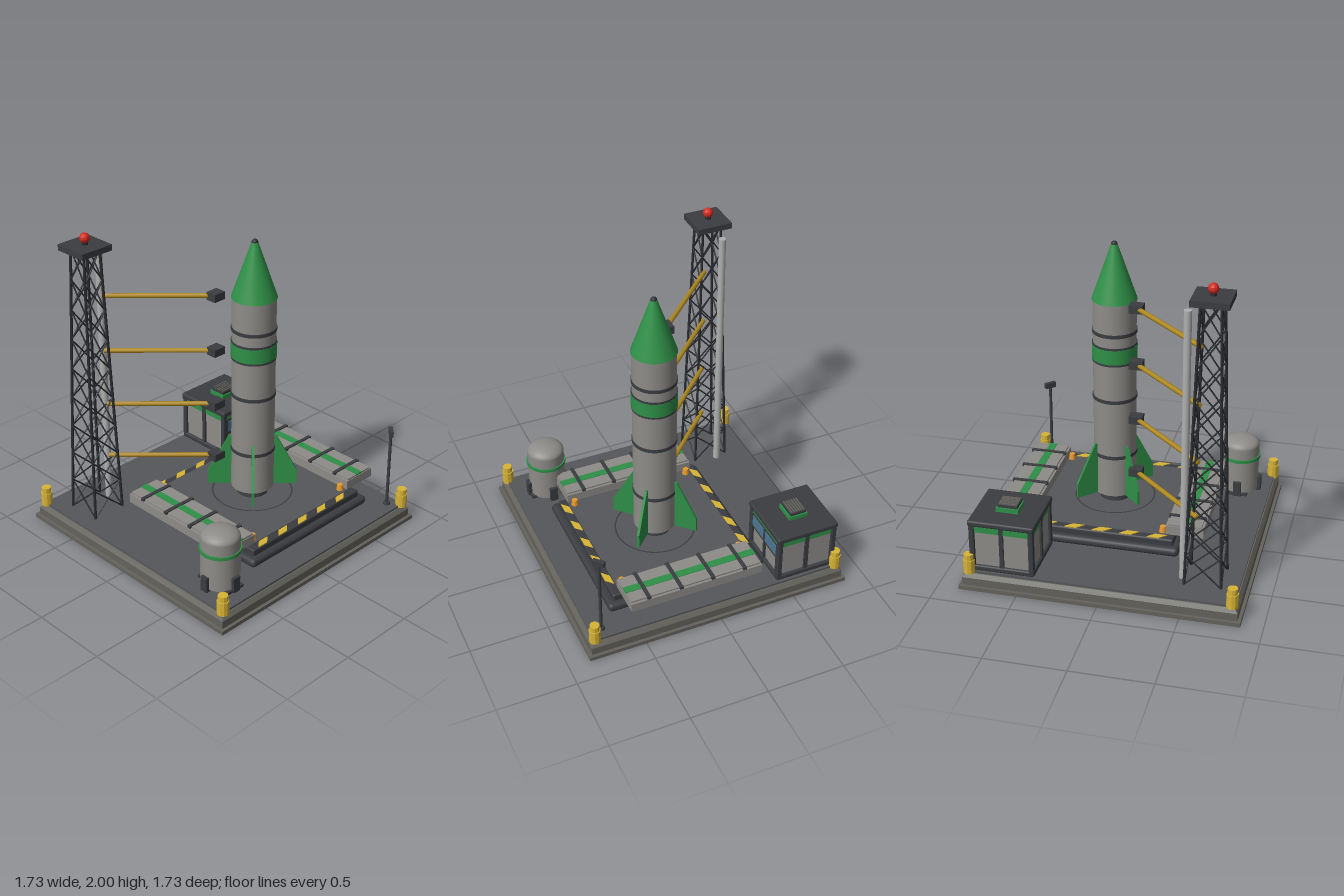
import * as THREE from 'three';
import { RoundedBoxGeometry } from 'three/addons/geometries/RoundedBoxGeometry.js';

const mat = (color, flat = false) =>
  new THREE.MeshStandardMaterial({ color, flatShading: flat, side: THREE.DoubleSide });
const M = {
  grey: mat(0x8e8c88), pale: mat(0xb0b0b0), base: mat(0x64635d), deck: mat(0x55575a),
  dark: mat(0x3b3d41), steel: mat(0x2c2e32), green: mat(0x2f9048), yellow: mat(0xd8b436, true),
  arm: mat(0xb08a20), orange: mat(0xe89a2c), red: mat(0xd42a1e, true), glass: mat(0x4f7896),
};

function add(parent, name, geo, material, x = 0, y = 0, z = 0) {
  const m = new THREE.Mesh(geo, material);
  m.name = name;
  m.position.set(x, y, z);
  parent.add(m);
  return m;
}
function group(parent, name, x = 0, y = 0, z = 0) {
  const g = new THREE.Group();
  g.name = name;
  g.position.set(x, y, z);
  parent.add(g);
  return g;
}
// box given by its centre in x and z and its bottom and top heights
const box = (p, name, m, x, z, w, d, y0, y1) =>
  add(p, name, new THREE.BoxGeometry(w, y1 - y0, d), m, x, (y0 + y1) / 2, z);
const rbox = (p, name, m, x, z, w, d, y0, y1, r = 0.012) =>
  add(p, name, new RoundedBoxGeometry(w, y1 - y0, d, 2, r), m, x, (y0 + y1) / 2, z);
const cyl = (p, name, m, x, z, r0, r1, y0, y1, n = 32) =>
  add(p, name, new THREE.CylinderGeometry(r1, r0, y1 - y0, n), m, x, (y0 + y1) / 2, z);
// straight bar between two points
function bar(p, name, m, a, b, r, n = 6) {
  const mesh = add(p, name, new THREE.CylinderGeometry(r, r, a.distanceTo(b), n), m);
  mesh.position.copy(a).add(b).multiplyScalar(0.5);
  mesh.quaternion.setFromUnitVectors(new THREE.Vector3(0, 1, 0), b.clone().sub(a).normalize());
  return mesh;
}
const V = (x, y, z) => new THREE.Vector3(x, y, z);

function buildBase(root) {
  const g = group(root, 'base');
  box(g, 'bottomPlate', M.base, 0, 0, 1.73, 1.73, 0, 0.025);
  box(g, 'slab', M.base, 0, 0, 1.69, 1.69, 0.025, 0.075);
  const bevel = cyl(g, 'slabBevel', mat(0x64635d, true), 0, 0, 0.845 * Math.SQRT2, 0.825 * Math.SQRT2, 0.075, 0.1, 4);
  bevel.geometry.rotateY(Math.PI / 4);
  box(g, 'deck', M.deck, 0, 0, 1.635, 1.635, 0.09, 0.113);
  for (const x of [-0.807, 0.807]) for (const z of [-0.81, 0.81]) {
    const b = group(g, 'cornerBollard', x, 0, z);
    cyl(b, 'bollardBody', M.yellow, 0, 0, 0.037, 0.037, 0.1, 0.19, 10);
    cyl(b, 'bollardCap', M.yellow, 0, 0, 0.031, 0.031, 0.19, 0.228, 10);
  }
}

function buildPad(root) {
  const g = group(root, 'launchPad', 0.129, 0, 0.129);
  rbox(g, 'lowerStep', M.dark, 0, 0, 1.046, 1.046, 0.113, 0.17, 0.025);
  rbox(g, 'upperStep', M.dark, 0, 0, 0.966, 0.966, 0.16, 0.213);
  box(g, 'padFloor', M.deck, 0, 0, 0.86, 0.866, 0.2, 0.217);
  const ring = add(g, 'padRing', new THREE.RingGeometry(0.25, 0.26, 48), M.dark, 0, 0.219, 0);
  ring.rotation.x = -Math.PI / 2;
  // slanted warning stripes along the two open edges
  const s = new THREE.Shape([[-0.06, -0.021], [0.015, -0.021], [0.06, 0.021], [-0.015, 0.021]].map(p => new THREE.Vector2(...p)));
  const stripe = new THREE.ExtrudeGeometry(s, { depth: 0.006, bevelEnabled: false }).rotateX(-Math.PI / 2);
  for (const z of [-0.457, 0.46]) for (let i = 0; i < 5; i++)
    add(g, 'warningStripe', stripe, M.yellow, -0.377 + i * 0.176, 0.212, z);
  for (const x of [-0.402, 0.402]) for (const z of [-0.396, 0.396])
    cyl(g, 'padLamp', M.orange, x, z, 0.024, 0.018, 0.213, 0.255, 16);
}

function buildRamp(root, x) {
  const g = group(root, 'sideRamp', x, 0, 0.13);
  box(g, 'rampBody', M.grey, 0, 0, 0.238, 0.87, 0.222, 0.282);
  box(g, 'rampTop', M.grey, 0, 0, 0.21, 0.86, 0.28, 0.293);
  box(g, 'rampStripe', M.green, 0, 0, 0.05, 0.866, 0.285, 0.296);
  for (let i = 0; i < 4; i++)
    box(g, 'rampBar', M.dark, 0, -0.318 + i * 0.212, 0.236, 0.024, 0.27, 0.3);
}

function buildRocket(root) {
  const g = group(root, 'rocket', 0.129, 0, 0.129);
  cyl(g, 'nozzle', M.dark, 0, 0, 0.1, 0.092, 0.215, 0.275);
  cyl(g, 'body', M.grey, 0, 0, 0.136, 0.136, 0.27, 1.585, 40);
  for (const y of [0.545, 0.935, 1.19, 1.29, 1.378])
    cyl(g, 'bodyBand', M.dark, 0, 0, 0.141, 0.141, y - 0.011, y + 0.011, 40);
  cyl(g, 'greenBand', M.green, 0, 0, 0.1425, 0.1425, 1.193, 1.288, 40);
  cyl(g, 'noseCone', M.green, 0, 0, 0.141, 0.02, 1.58, 1.93, 40);
  add(g, 'noseTip', new THREE.SphereGeometry(0.02, 16, 10), M.steel, 0, 1.93, 0);
  // fin outline in radius and height
  const fin = new THREE.Shape([[0.12, 0.27], [0.283, 0.27], [0.283, 0.365], [0.15, 0.62], [0.12, 0.62]].map(p => new THREE.Vector2(...p)));
  const finGeo = new THREE.ExtrudeGeometry(fin, { depth: 0.016, bevelEnabled: false }).translate(0, 0, -0.008);
  for (let i = 0; i < 4; i++)
    add(g, 'fin', finGeo, M.green).rotation.y = Math.PI / 4 + i * Math.PI / 2;
}

function buildTower(root) {
  const g = group(root, 'gantryTower', -0.6, 0, -0.55);
  const y0 = 0.113, y1 = 1.9, panels = 9;
  const half = y => 0.112 + (0.06 - 0.112) * (y - y0) / (y1 - y0);
  const corner = (k, y) => {
    const a = Math.PI / 4 + k * Math.PI / 2, r = half(y) * Math.SQRT2;
    return V(Math.cos(a) * r, y, Math.sin(a) * r);
  };
  for (let k = 0; k < 4; k++) {
    bar(g, 'towerLeg', M.steel, corner(k, y0), corner(k, y1), 0.009);
    for (let i = 0; i < panels; i++) {
      const a = y0 + (y1 - y0) * i / panels, b = y0 + (y1 - y0) * (i + 1) / panels;
      bar(g, 'towerBrace', M.steel, corner(k, a), corner(k + 1, b), 0.005, 5);
      bar(g, 'towerBrace', M.steel, corner(k + 1, a), corner(k, b), 0.005, 5);
    }
  }
  box(g, 'towerPlatform', M.dark, 0, 0, 0.225, 0.225, 1.89, 1.928);
  cyl(g, 'beaconBase', M.steel, 0, 0, 0.02, 0.02, 1.925, 1.945, 12);
  add(g, 'beacon', new THREE.SphereGeometry(0.032, 10, 8), M.red, 0, 1.968, 0);
  cyl(g, 'supplyPipe', M.pale, 0.132, -0.04, 0.023, 0.023, 0.113, 1.843, 20);
  // access arms reaching towards the rocket
  for (const y of [0.485, 0.855, 1.225, 1.592]) {
    bar(g, 'accessArm', M.arm, V(0.07, y, 0.05), V(0.54, y, 0.51), 0.015, 8);
    box(g, 'armHead', M.dark, 0.555, 0.526, 0.084, 0.072, y - 0.025, y + 0.025);
  }
}

function buildTank(root) {
  const g = group(root, 'fuelTank', -0.616, 0, 0.595);
  box(g, 'tankFootplate', M.dark, 0, 0, 0.13, 0.26, 0.113, 0.13);
  cyl(g, 'tankBody', M.grey, 0, 0, 0.12, 0.12, 0.125, 0.44);
  const dome = add(g, 'tankDome', new THREE.SphereGeometry(0.12, 32, 10, 0, Math.PI * 2, 0, Math.PI / 2), M.grey, 0, 0.44, 0);
  dome.scale.y = 0.48;
  cyl(g, 'tankBand', M.green, 0, 0, 0.129, 0.129, 0.35, 0.371);
  for (let i = 0; i < 4; i++) {
    const a = i * Math.PI / 2;
    box(g, 'tankFoot', M.dark, Math.cos(a) * 0.115, Math.sin(a) * 0.115, 0.05, 0.05, 0.113, 0.212);
  }
}

function buildHut(root) {
  const g = group(root, 'controlHut', 0.602, 0, -0.607);
  box(g, 'hutWalls', M.grey, 0, 0, 0.37, 0.37, 0.12, 0.44);
  rbox(g, 'hutPlinth', M.dark, 0, 0, 0.405, 0.405, 0.113, 0.15);
  rbox(g, 'hutRoof', M.dark, 0, 0, 0.415, 0.415, 0.418, 0.456);
  for (const x of [-0.185, 0.185]) for (const z of [-0.185, 0.185])
    rbox(g, 'hutCornerPost', M.dark, x, z, 0.034, 0.034, 0.12, 0.44, 0.008);
  // each side: green strip and a middle post; the front carries windows
  for (let i = 0; i < 4; i++) {
    const side = group(g, i ? 'hutSide' : 'hutFront');
    side.rotation.y = i * Math.PI / 2;
    box(side, 'hutTrim', M.green, 0, 0.187, 0.35, 0.01, 0.375, 0.412);
    if (i) {
      box(side, 'hutMiddlePost', M.dark, 0, 0.187, 0.026, 0.022, 0.14, 0.43);
      continue;
    }
    box(side, 'windowFrame', M.dark, 0, 0.187, 0.345, 0.014, 0.27, 0.385);
    for (const x of [-0.085, 0.085])
      box(side, 'windowPane', M.glass, x, 0.19, 0.15, 0.014, 0.29, 0.37);
    for (const x of [-0.17, 0, 0.17])
      box(side, 'windowPost', M.dark, x, 0.188, 0.018, 0.022, 0.14, 0.385);
  }
  const v = group(g, 'roofVent');
  box(v, 'ventBase', M.green, 0, 0, 0.142, 0.125, 0.45, 0.484);
  box(v, 'ventBox', M.dark, 0, 0, 0.125, 0.105, 0.48, 0.502);
  for (let i = 0; i < 6; i++)
    box(v, 'ventSlat', M.base, 0, -0.043 + i * 0.017, 0.115, 0.008, 0.5, 0.51);
}

function buildLampPost(root) {
  const g = group(root, 'lampPost', 0.742, 0, 0.745);
  g.rotation.y = Math.PI / 4;
  cyl(g, 'postFoot', M.dark, 0, 0, 0.025, 0.02, 0.11, 0.13, 12);
  cyl(g, 'post', M.dark, 0, 0, 0.01, 0.01, 0.113, 0.64, 10);
  box(g, 'lampHead', M.dark, 0, 0, 0.075, 0.026, 0.628, 0.665);
}

export function createModel() {
  const root = new THREE.Group();
  root.name = 'rocketLaunchPad';
  buildBase(root);
  buildPad(root);
  buildRamp(root, -0.416);
  buildRamp(root, 0.672);
  buildRocket(root);
  buildTower(root);
  buildTank(root);
  buildHut(root);
  buildLampPost(root);
  return root;
}
